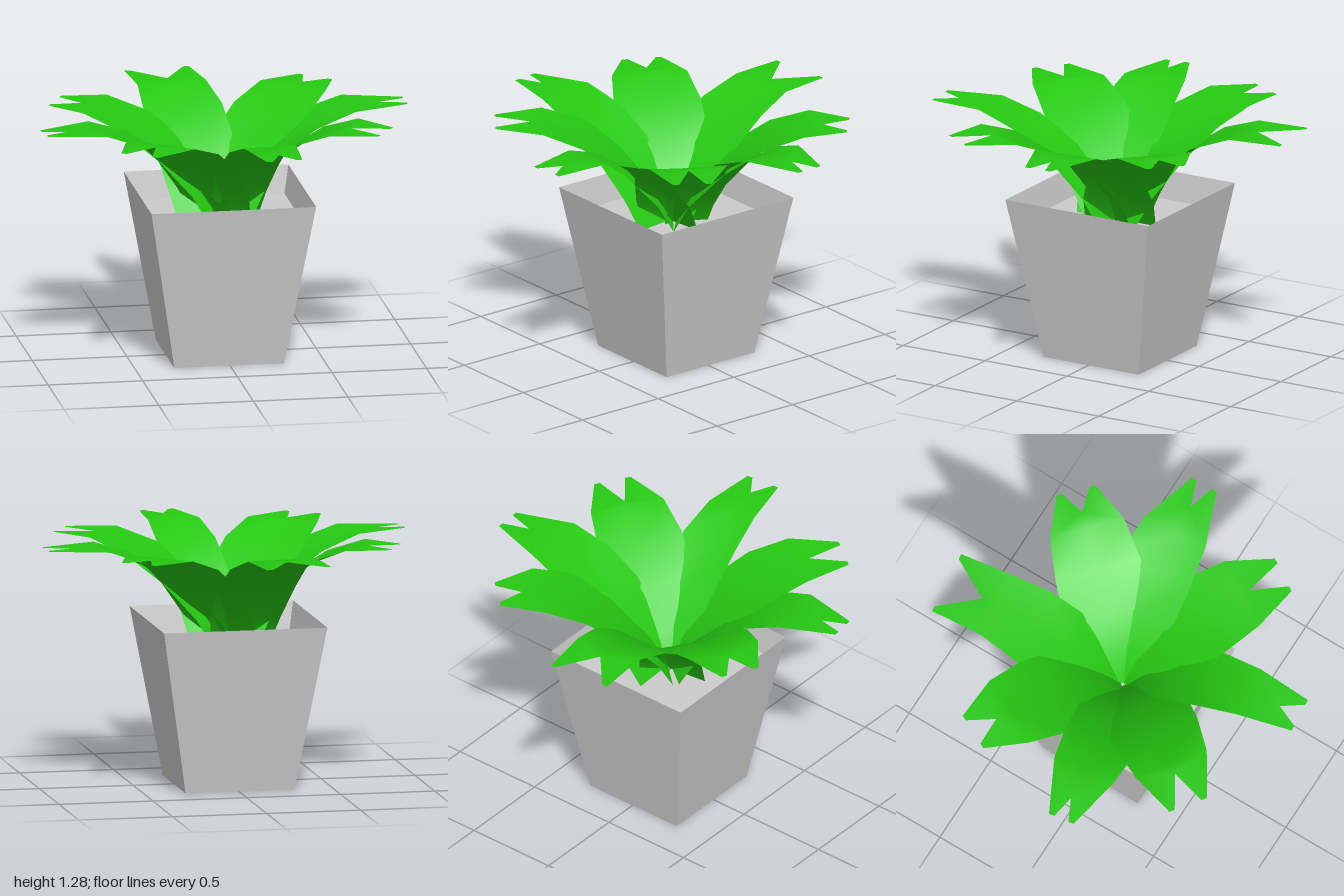
import * as THREE from 'three';

const potMaterial = new THREE.MeshStandardMaterial({ color: 0xcccccc, flatShading: true, side: THREE.DoubleSide });
const leafMaterial = new THREE.MeshStandardMaterial({ color: 0x26c912, side: THREE.DoubleSide });

// Leaf rows: distance along the leaf, height, width factor, lift of the edges above the midrib
const ROWS = [
  [0.0, 0.71, 0.85, 0],
  [0.09, 0.88, 1.05, 0],
  [0.27, 1.05, 1.18, 0.02],
  [0.48, 1.185, 1.15, 0.025],
  [0.69, 1.283, 1.0, 0],
];
const TOP = 1.283;

// A strip that rises from the soil, bends outward and ends in two blunt points on a level plane
function makeLeaf({ base, tip, half, gap, notch }) {
  const axis = new THREE.Vector2(tip[0] - base[0], tip[1] - base[1]);
  const length = axis.length();
  axis.normalize();
  const positions = [];
  const index = [];
  const add = (r, u, y) => {
    positions.push(base[0] + axis.x * r + axis.y * u, y, base[1] + axis.y * r - axis.x * u);
    return positions.length / 3 - 1;
  };

  // Folded blade
  for (const [r, y, width, lift] of ROWS) {
    for (const side of [-1, 0, 1]) add(r, side * half * width, y + Math.abs(side) * lift);
  }
  for (let i = 0; i < ROWS.length - 1; i++) {
    for (let j = 0; j < 2; j++) {
      const a = i * 3 + j, b = a + 3;
      index.push(a, b, a + 1, b, b + 1, a + 1);
    }
  }

  // Forked end
  const mid = (ROWS.length - 1) * 3 + 1;
  const fork = add(notch, 0, TOP);
  for (const side of [-1, 1]) {
    const edge = mid + side;
    const outer = add(length, side * (gap + 0.015), TOP);
    const inner = add(length, side * (gap - 0.015), TOP);
    for (const [a, b, c] of [[edge, outer, inner], [edge, inner, fork], [edge, fork, mid]]) {
      if (side < 0) index.push(a, b, c);
      else index.push(a, c, b);
    }
  }

  const geometry = new THREE.BufferGeometry();
  geometry.setAttribute('position', new THREE.Float32BufferAttribute(positions, 3));
  geometry.setIndex(index);
  geometry.computeVertexNormals();
  return new THREE.Mesh(geometry, leafMaterial);
}

function makePot() {
  const pot = new THREE.Group();
  pot.name = 'pot';
  const height = 0.875, topSide = 0.87, bottomSide = 0.58, soilHeight = 0.725;

  // Tapered square wall, open at the top
  const wall = new THREE.Mesh(
    new THREE.CylinderGeometry(topSide / Math.SQRT2, bottomSide / Math.SQRT2, height, 4, 1, true)
      .rotateY(Math.PI / 4).translate(0, height / 2, 0), potMaterial);
  wall.name = 'potWall';

  const square = (name, side, y, turn) => {
    const mesh = new THREE.Mesh(new THREE.PlaneGeometry(side, side).rotateX(turn), potMaterial);
    mesh.position.y = y;
    mesh.name = name;
    return mesh;
  };
  const soilSide = bottomSide + (topSide - bottomSide) * soilHeight / height;
  pot.add(wall, square('potBottom', bottomSide, 0, Math.PI / 2), square('soil', soilSide, soilHeight, -Math.PI / 2));
  pot.position.set(-0.005, 0, -0.015);
  return pot;
}

export function createModel() {
  const model = new THREE.Group();
  model.name = 'pottedPlant';
  model.add(makePot());

  // Narrow leaves along the axes, broad leaves along the diagonals
  const leaves = [
    { base: [-0.07, 0], tip: [-0.18, -0.97], half: 0.185, gap: 0.16, notch: 0.77 },
    { base: [0.07, 0], tip: [0.17, 0.98], half: 0.14, gap: 0.08, notch: 0.87 },
    { base: [0, -0.08], tip: [0.99, -0.12], half: 0.18, gap: 0.06, notch: 0.85 },
    { base: [0, 0.09], tip: [-0.975, 0.23], half: 0.17, gap: 0.055, notch: 0.86 },
    { base: [0, 0], tip: [0.61, -0.67], half: 0.2, gap: 0.09, notch: 0.78 },
    { base: [0, 0], tip: [0.785, 0.495], half: 0.2, gap: 0.085, notch: 0.73 },
    { base: [0, 0], tip: [-0.56, 0.75], half: 0.2, gap: 0.09, notch: 0.75 },
    { base: [0, 0], tip: [-0.81, -0.415], half: 0.2, gap: 0.09, notch: 0.77 },
  ];
  const foliage = new THREE.Group();
  foliage.name = 'foliage';
  leaves.forEach((spec, i) => {
    const leaf = makeLeaf(spec);
    leaf.name = `leaf${i + 1}`;
    foliage.add(leaf);
  });
  model.add(foliage);
  return model;
}
